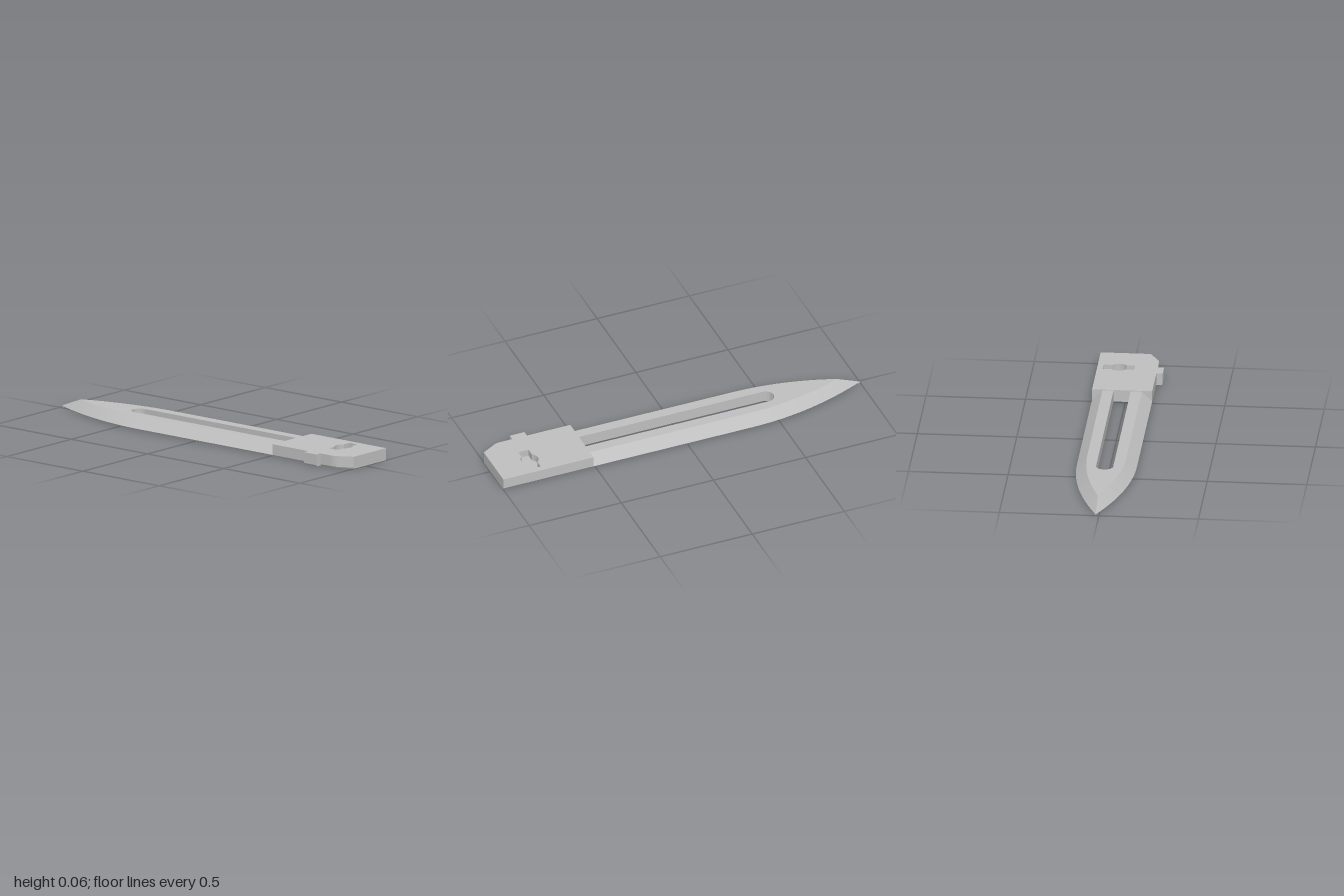
import * as THREE from 'three';
import { toCreasedNormals } from 'three/addons/utils/BufferGeometryUtils.js';

const MID = -0.016;          // z of the blade's centre line
const TIP = -1, RIDGE = -0.874, SLOT = -0.53, END = 0.51;
const TOP = 0.058, LIP = 0.007, SLOT_R = 0.043;

// Half-width of the blade outline
function halfWidth(x) {
  const t = Math.max(0, (-0.35 - x) / 0.65);
  return 0.151 * (1 - t * t);
}

// Half-width of the round-ended slot
function halfSlot(x) {
  if (x <= SLOT) return 0;
  const d = Math.max(0, SLOT + SLOT_R - x);
  return Math.sqrt(Math.max(0, SLOT_R * SLOT_R - d * d));
}

// One half of the blade's cross-section: slot top, ridge, cutting edge, underside, slot bottom
function section(x, side) {
  const w = halfWidth(x), h = halfSlot(x);
  const ridge = x <= RIDGE ? 0 : Math.max(0, w - 0.052);
  const top = x < RIDGE ? LIP + (TOP - LIP) * (x - TIP) / (RIDGE - TIP) : TOP;
  return [[h, top], [ridge, top], [w, LIP], [Math.max(0, w - 0.005), 0], [h, 0]]
    .map(([z, y]) => new THREE.Vector3(x, y, MID + side * z));
}

function bladeGeometry() {
  const xs = [RIDGE, -0.35, END];
  for (let i = 0; i <= 6; i++) xs.push(TIP + (RIDGE - TIP) * i / 6.001);
  for (let i = 1; i < 14; i++) xs.push(RIDGE + (-0.35 - RIDGE) * i / 14);
  for (let i = 0; i <= 10; i++) xs.push(SLOT + SLOT_R * (1 - Math.cos(i / 10 * Math.PI / 2)));
  xs.sort((a, b) => a - b);
  const out = [];
  const tri = (a, b, c) => {
    const area = b.clone().sub(a).cross(c.clone().sub(a)).length();
    if (area > 1e-9) for (const p of [a, b, c]) out.push(p.x, p.y, p.z);
  };
  for (const side of [1, -1]) {
    for (let i = 0; i < xs.length - 1; i++) {
      const P = section(xs[i], side), Q = section(xs[i + 1], side);
      for (let j = 0; j < 5; j++) {
        if (j === 4 && halfSlot(xs[i + 1]) === 0) continue;
        const k = (j + 1) % 5;
        const [a, b, c, d] = [P[j], P[k], Q[k], Q[j]];
        if (side > 0) { tri(a, b, c); tri(a, c, d); }
        else { tri(a, c, b); tri(a, d, c); }
      }
    }
  }
  const geo = new THREE.BufferGeometry();
  geo.setAttribute('position', new THREE.Float32BufferAttribute(out, 3));
  return toCreasedNormals(geo, 0.35);
}

// Tang outline with side tab and one clipped corner, drawn with y = -z
function tangShape() {
  const s = new THREE.Shape();
  s.moveTo(END, 0.167);
  s.lineTo(END, -0.135);
  s.lineTo(0.745, -0.135);
  s.lineTo(0.745, -0.167);
  s.lineTo(0.825, -0.167);
  s.lineTo(0.825, -0.135);
  s.lineTo(0.89, -0.135);
  s.quadraticCurveTo(0.915, -0.135, 0.935, -0.122);
  s.lineTo(1, -0.085);
  s.lineTo(1, 0.167);
  s.closePath();
  return s;
}

// Keyhole: a narrow slot crossed by a circle
function keyhole() {
  const cx = 0.8125, cy = 0.058, w = 0.0275, l = 0.078, r = 0.045;
  const a = Math.acos(w / r);
  const p = new THREE.Path();
  p.moveTo(cx - w, cy + l);
  p.lineTo(cx + w, cy + l);
  p.absarc(cx, cy, r, a, -a, true);
  p.lineTo(cx + w, cy - l);
  p.lineTo(cx - w, cy - l);
  p.absarc(cx, cy, r, Math.PI + a, Math.PI - a, true);
  p.closePath();
  return p;
}

function layer(shape, y0, y1) {
  const g = new THREE.ExtrudeGeometry(shape, { depth: y1 - y0, bevelEnabled: false, curveSegments: 10 });
  return g.rotateX(-Math.PI / 2).translate(0, y0, 0);
}

export function createModel() {
  const group = new THREE.Group();
  const steel = new THREE.MeshStandardMaterial({ color: 0xbfbfbf });
  steel.name = 'grey steel';
  const add = (name, geo) => {
    const mesh = new THREE.Mesh(geo, steel);
    mesh.name = name;
    group.add(mesh);
  };

  add('blade', bladeGeometry());

  // Underside of the tang, its long edges chamfered
  const base = layer(tangShape(), 0, LIP);
  const pos = base.attributes.position;
  for (let i = 0; i < pos.count; i++) {
    if (pos.getY(i) < LIP / 2) pos.setZ(i, pos.getZ(i) * 0.965);
  }
  base.computeVertexNormals();
  add('tangUnderside', base);

  add('tangBody', layer(tangShape(), LIP, 0.025));

  // Upper layer with the blind keyhole
  const top = tangShape();
  top.holes.push(keyhole());
  add('tangTop', layer(top, 0.025, 0.062));

  return group;
}
